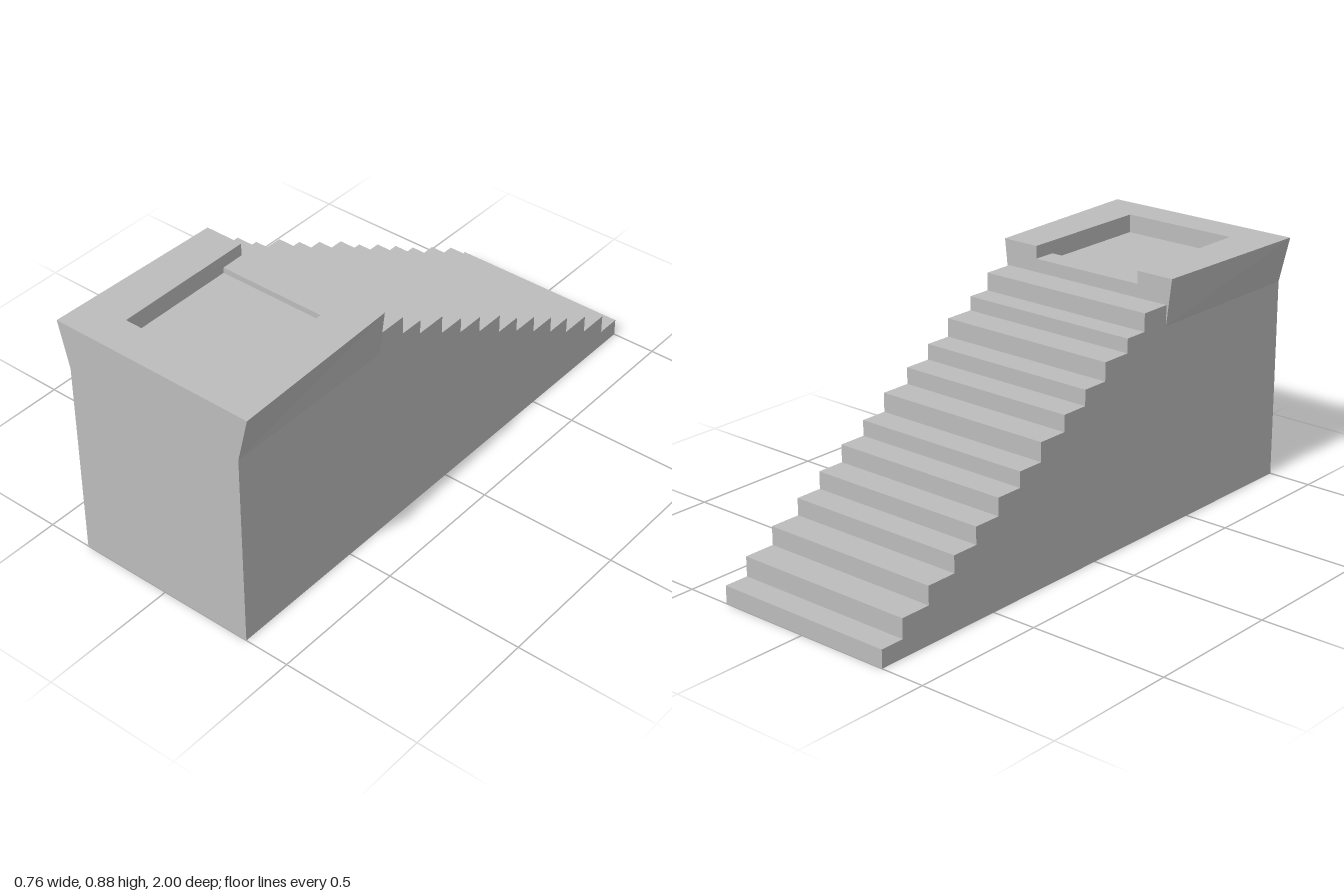
import * as THREE from 'three';

const stone = new THREE.MeshStandardMaterial({ color: 0xbcbcbc, side: THREE.DoubleSide });
stone.name = 'grey stone';

const H = 0.338;            // half width of the body
const TOP = 0.885, HIP = 0.72; // rim height, height where the flare starts
const FLARE_F = 0.378, FLARE_B = 0.358; // half width of the rim, front and back
const ZB = 0.355;           // back edge of the platform
const RX = 0.217, RZ0 = 0.44, RZ1 = 0.87; // recess
const FLOOR = 0.82, SILL = 0.84;

// each step: [z of its riser, tread height], from the ground up
const STEPS = [
  [-1, 0.063], [-0.91, 0.132], [-0.795, 0.197], [-0.68, 0.257], [-0.58, 0.318],
  [-0.477, 0.38], [-0.375, 0.435], [-0.275, 0.502], [-0.163, 0.56], [-0.06, 0.615],
  [0.04, 0.68], [0.153, 0.73], [0.24, 0.793],
];

// stair outline as [z, y] pairs, ending at the foot of the platform
function stairProfile() {
  const pts = [[-1, 0]];
  STEPS.forEach(([z, y], i) => {
    const next = i + 1 < STEPS.length ? STEPS[i + 1][0] : ZB;
    pts.push([z, y], [next, y]);
  });
  return pts;
}

// flat faces from convex corner loops, counter-clockwise from outside
function faces(loops) {
  const pos = [];
  for (const p of loops) {
    for (let i = 1; i < p.length - 1; i++) pos.push(...p[0], ...p[i], ...p[i + 1]);
  }
  const g = new THREE.BufferGeometry();
  g.setAttribute('position', new THREE.Float32BufferAttribute(pos, 3));
  g.computeVertexNormals();
  return g;
}

// mirrors a corner loop made for the +x side
const side = (s, loop) => {
  const p = loop.map(([x, y, z]) => [s * x, y, z]);
  return s > 0 ? p : p.reverse();
};

const outline = (pts) => new THREE.Shape(pts.map(([u, v]) => new THREE.Vector2(u, v)));

export function createModel() {
  const model = new THREE.Group();
  const add = (name, geometry) => {
    const mesh = new THREE.Mesh(geometry, stone);
    mesh.name = name;
    model.add(mesh);
  };
  const profile = stairProfile();

  // treads and risers, with the last riser reaching the sill
  const run = [...profile, [ZB, SILL]];
  const stairLoops = [];
  for (let i = 0; i < run.length - 1; i++) {
    const [z0, y0] = run[i], [z1, y1] = run[i + 1];
    stairLoops.push([[H, y0, z0], [-H, y0, z0], [-H, y1, z1], [H, y1, z1]]);
  }
  add('stairs', faces(stairLoops));

  // side walls, flared rim sides and the rail ends
  for (const s of [1, -1]) {
    const label = s > 0 ? 'left' : 'right';
    const wall = [...profile, [ZB, HIP], [1, HIP], [1, 0]].map(([z, y]) => [-s * z, y]);
    const g = new THREE.ShapeGeometry(outline(wall));
    g.rotateY(s * Math.PI / 2).translate(s * H, 0, 0);
    add(label + 'SideWall', g);

    add(label + 'Flare', faces([
      side(s, [[H, HIP, 1], [H, HIP, ZB], [FLARE_B, TOP, ZB], [FLARE_F, TOP, 1]]),
      side(s, [[H, HIP, ZB], [H, TOP, ZB], [FLARE_B, TOP, ZB]]),
    ]));

    add(label + 'RailFaces', faces([
      side(s, [[H, SILL, ZB], [RX, SILL, ZB], [RX, TOP, ZB], [H, TOP, ZB]]),
      side(s, [[RX, SILL, ZB], [RX, SILL, RZ0], [RX, TOP, RZ0], [RX, TOP, ZB]]),
      side(s, [[RX, FLOOR, RZ0], [RX, FLOOR, RZ1], [RX, TOP, RZ1], [RX, TOP, RZ0]]),
    ]));
  }

  // front wall, widening at the top
  add('frontWall', new THREE.ShapeGeometry(outline([
    [-H, 0], [H, 0], [H, HIP], [FLARE_F, TOP], [-FLARE_F, TOP], [-H, HIP],
  ])).translate(0, 0, 1));

  // U-shaped rim, open towards the stairs
  const rim = [
    [-FLARE_F, 1], [FLARE_F, 1], [FLARE_B, ZB], [RX, ZB],
    [RX, RZ1], [-RX, RZ1], [-RX, ZB], [-FLARE_B, ZB],
  ].map(([x, z]) => [x, -z]);
  add('rimTop', new THREE.ShapeGeometry(outline(rim)).rotateX(-Math.PI / 2).translate(0, TOP, 0));

  // sunken floor, entrance sill and the recess front face
  const level = (y, z0, z1) => [[-RX, y, z1], [RX, y, z1], [RX, y, z0], [-RX, y, z0]];
  add('recessFloor', faces([level(FLOOR, RZ0, RZ1)]));
  add('entranceSill', faces([
    level(SILL, ZB, RZ0),
    [[-RX, FLOOR, RZ0], [RX, FLOOR, RZ0], [RX, SILL, RZ0], [-RX, SILL, RZ0]],
  ]));
  add('recessFrontFace', faces([
    [[RX, FLOOR, RZ1], [-RX, FLOOR, RZ1], [-RX, TOP, RZ1], [RX, TOP, RZ1]],
  ]));

  return model;
}
